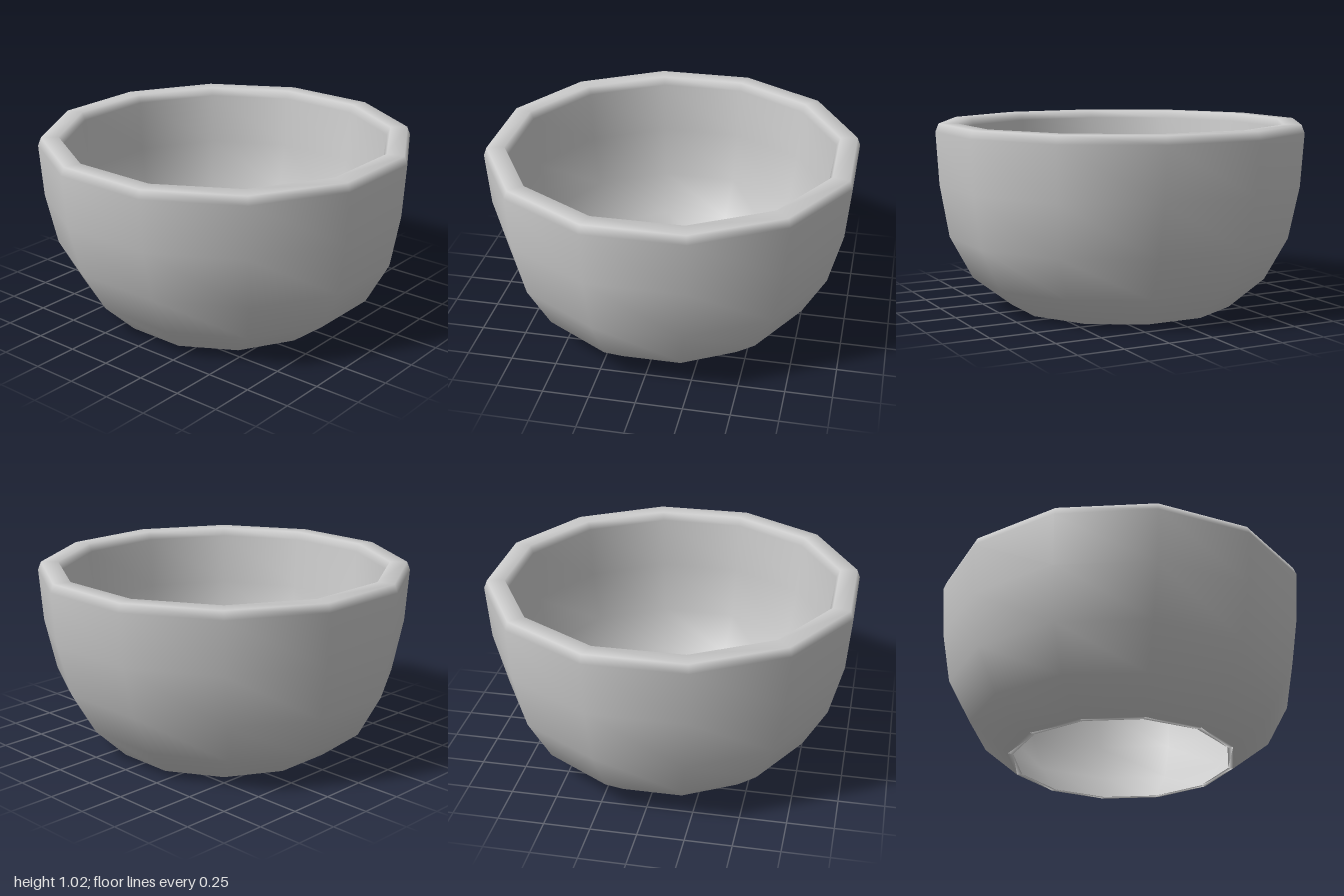
import * as THREE from 'three';
import { mergeVertices } from 'three/addons/utils/BufferGeometryUtils.js';

const SIDES = 12;

// Closed wall section: [half width in x, height, half depth in z]
const SECTION = [
  [0.61, 0, 0.61], [0.77, 0.165, 0.82], [0.9, 0.4, 0.94], [0.975, 0.69, 0.985], [1, 0.98, 1], // outside
  [0.983, 1.025, 0.983], [0.89, 1.025, 0.89], // rounded lip
  [0.872, 0.98, 0.872], [0.855, 0.69, 0.86], [0.8, 0.4, 0.82], [0.7, 0.165, 0.73], [0.58, 0, 0.58], // inside
  [0.61, 0, 0.61], // thin foot edge
];

export function createModel() {
  const group = new THREE.Group();
  const grey = new THREE.MeshStandardMaterial({ color: 0xcccccc });
  grey.name = 'light grey';

  // Turn the section with flats facing the axes
  const corner = 1 / Math.cos(Math.PI / SIDES);
  const points = SECTION.map(([x, y]) => new THREE.Vector2(x * corner, y));
  let geometry = new THREE.LatheGeometry(points, SIDES, Math.PI / SIDES);

  // Widen the lower rings slightly in depth
  const position = geometry.attributes.position;
  for (let i = 0; i < position.count; i++) {
    const [x, , z] = SECTION[i % SECTION.length];
    position.setZ(i, position.getZ(i) * z / x);
  }

  // Weld the seams so shading is smooth all round
  geometry.deleteAttribute('normal');
  geometry.deleteAttribute('uv');
  geometry = mergeVertices(geometry, 1e-4);
  geometry.computeVertexNormals();

  const bowl = new THREE.Mesh(geometry, grey);
  bowl.name = 'bowlWall';
  group.add(bowl);
  return group;
}
